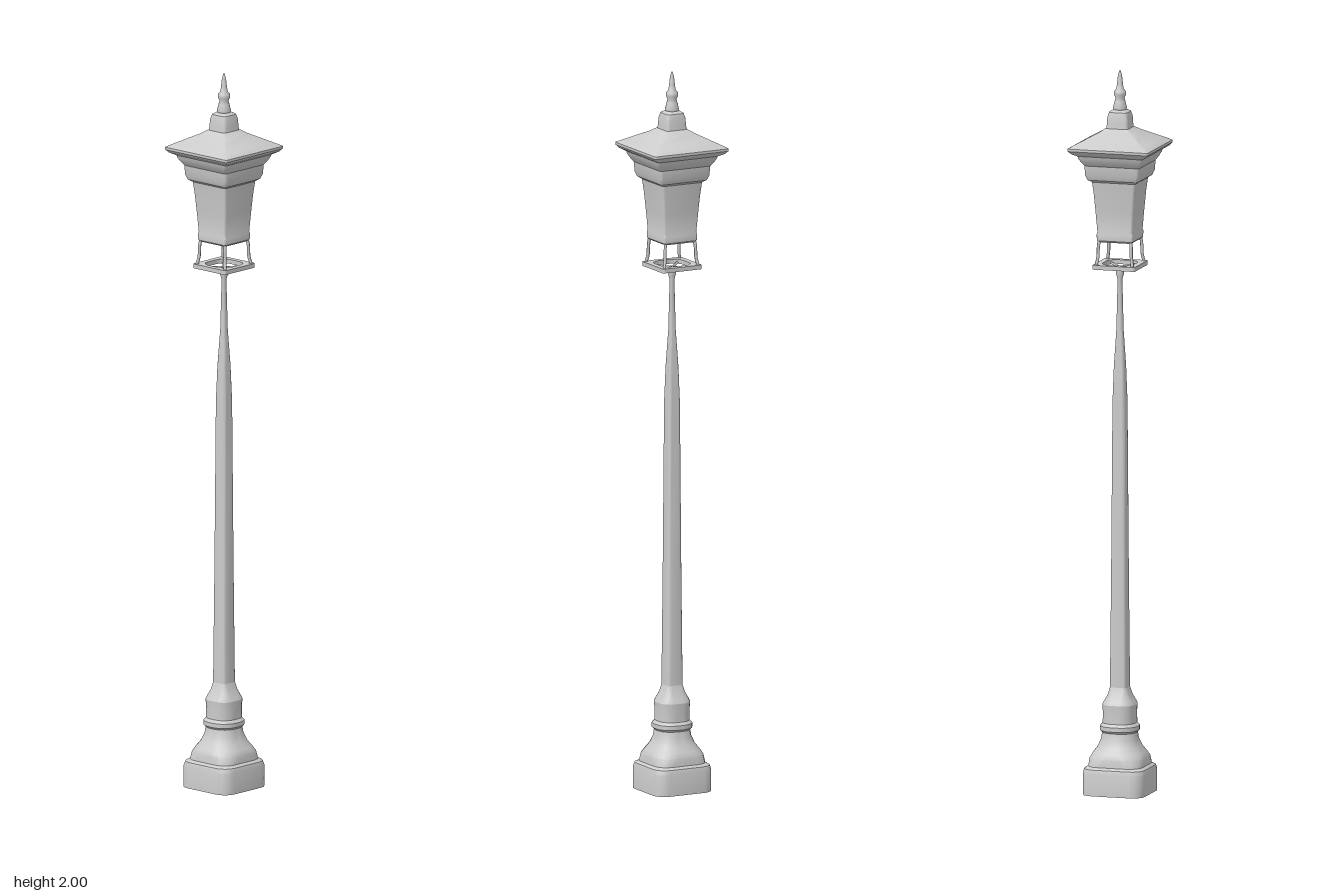
import * as THREE from 'three';
import { toCreasedNormals } from 'three/addons/utils/BufferGeometryUtils.js';

const material = new THREE.MeshStandardMaterial({ color: 0xcccccc, side: THREE.DoubleSide });

function add(group, name, geometry) {
  const mesh = new THREE.Mesh(geometry, material);
  mesh.name = name;
  group.add(mesh);
  return mesh;
}

// Outline of a rounded square; round runs from 0 (square) to 1 (circle)
function outline(half, round, steps = 4) {
  const points = [], r = half * round;
  for (let corner = 0; corner < 4; corner++) {
    for (let i = 0; i <= steps; i++) {
      const a = (corner + i / steps) * Math.PI / 2;
      const mid = (corner + 0.5) * Math.PI / 2;
      points.push([
        Math.sign(Math.cos(mid)) * (half - r) + r * Math.cos(a),
        Math.sign(Math.sin(mid)) * (half - r) + r * Math.sin(a),
      ]);
    }
  }
  return points;
}

// Capped loft through rows of [y, half width, roundness]
function loft(rows, crease = 0.5) {
  const positions = [], index = [];
  const n = outline(1, 0.5).length;
  rows.forEach(([y, half, round]) => {
    outline(half, round).forEach(([x, z]) => positions.push(x, y, z));
  });
  for (let j = 0; j < rows.length - 1; j++) {
    for (let i = 0; i < n; i++) {
      const a = j * n + i, b = j * n + (i + 1) % n;
      index.push(a, a + n, b, b, a + n, b + n);
    }
  }
  const last = rows.length - 1, bottom = rows.length * n, top = bottom + 1;
  positions.push(0, rows[0][0], 0, 0, rows[last][0], 0);
  for (let i = 0; i < n; i++) {
    const k = (i + 1) % n;
    index.push(bottom, i, k, top, last * n + k, last * n + i);
  }
  const geometry = new THREE.BufferGeometry();
  geometry.setAttribute('position', new THREE.Float32BufferAttribute(positions, 3));
  geometry.setIndex(index);
  return toCreasedNormals(geometry, crease);
}

export function createModel() {
  const model = new THREE.Group();
  model.name = 'lampPost';

  // Plinth that turns from a rounded square into a round neck
  add(model, 'base', loft([
    [0, 0.088, 0.4], [0.06, 0.088, 0.4], [0.072, 0.085, 0.42], [0.078, 0.077, 0.5],
    [0.1, 0.076, 0.65], [0.113, 0.07, 0.75], [0.13, 0.058, 0.8], [0.15, 0.05, 0.85],
    [0.168, 0.047, 0.85], [0.174, 0.053, 0.85], [0.186, 0.053, 0.85], [0.194, 0.045, 0.8],
    [0.225, 0.044, 0.75], [0.245, 0.045, 0.7], [0.255, 0.04, 0.65], [0.272, 0.03, 0.5], [0.295, 0.023, 0.4],
  ]));

  // Tapering post, thin at the top
  add(model, 'post', loft([
    [0.27, 0.024, 0.4], [0.6, 0.021, 0.4], [1.08, 0.018, 0.45], [1.18, 0.015, 0.55],
    [1.28, 0.0095, 0.8], [1.42, 0.0065, 1], [1.435, 0.011, 1], [1.448, 0.011, 1], [1.456, 0.008, 1],
  ]));

  // Open frame carrying the lantern
  const frame = new THREE.Group();
  frame.name = 'lanternFrame';
  model.add(frame);
  const ring = new THREE.Shape(outline(0.061, 0.1).map(([x, y]) => new THREE.Vector2(x, y)));
  ring.holes.push(new THREE.Path(outline(0.044, 0.6).reverse().map(([x, y]) => new THREE.Vector2(x, y))));
  const ringGeometry = new THREE.ExtrudeGeometry(ring, { depth: 0.012, bevelEnabled: false });
  add(frame, 'frameRing', ringGeometry.rotateX(-Math.PI / 2).translate(0, 1.453, 0));
  for (let i = 0; i < 4; i++) {
    const corner = new THREE.Group();
    corner.name = 'frameCorner';
    corner.rotation.y = i * Math.PI / 2;
    frame.add(corner);
    const postPath = new THREE.CatmullRomCurve3([
      new THREE.Vector3(0.053, 1.46, 0.053), new THREE.Vector3(0.048, 1.485, 0.048),
      new THREE.Vector3(0.047, 1.515, 0.047), new THREE.Vector3(0.044, 1.538, 0.044),
    ]);
    add(corner, 'cornerPost', new THREE.TubeGeometry(postPath, 8, 0.0045, 6));
    const armPath = new THREE.LineCurve3(new THREE.Vector3(0, 1.453, 0), new THREE.Vector3(0.046, 1.457, 0.046));
    add(corner, 'supportArm', new THREE.TubeGeometry(armPath, 1, 0.0035, 6));
  }

  // Lantern body flaring into a stepped cornice
  add(model, 'lanternBody', loft([
    [1.527, 0.045, 0.1], [1.532, 0.051, 0.1], [1.548, 0.052, 0.1], [1.555, 0.05, 0.1],
    [1.61, 0.054, 0.1], [1.66, 0.058, 0.1], [1.695, 0.062, 0.1], [1.702, 0.072, 0.1],
    [1.715, 0.077, 0.1], [1.742, 0.079, 0.1], [1.752, 0.086, 0.08], [1.763, 0.092, 0.08], [1.778, 0.096, 0.08],
  ]));

  // Hipped roof with a gentle concave sweep
  add(model, 'roof', loft([
    [1.768, 0.09, 0.05], [1.778, 0.108, 0.05], [1.786, 0.115, 0.05], [1.793, 0.115, 0.05],
    [1.802, 0.099, 0.06], [1.816, 0.073, 0.08], [1.83, 0.047, 0.12], [1.84, 0.033, 0.2],
  ]));

  // Square collar and turned finial
  add(model, 'collar', loft([
    [1.835, 0.032, 0.25], [1.852, 0.03, 0.25], [1.87, 0.029, 0.25], [1.884, 0.026, 0.4], [1.89, 0.018, 0.8],
  ]));
  const profile = [
    [0, 1.885], [0.017, 1.885], [0.019, 1.895], [0.015, 1.912], [0.012, 1.922], [0.017, 1.931],
    [0.016, 1.94], [0.01, 1.948], [0.008, 1.962], [0.006, 1.98], [0.003, 1.993], [0, 2],
  ].map(([r, y]) => new THREE.Vector2(r, y));
  add(model, 'finial', new THREE.LatheGeometry(profile, 20));

  return model;
}
